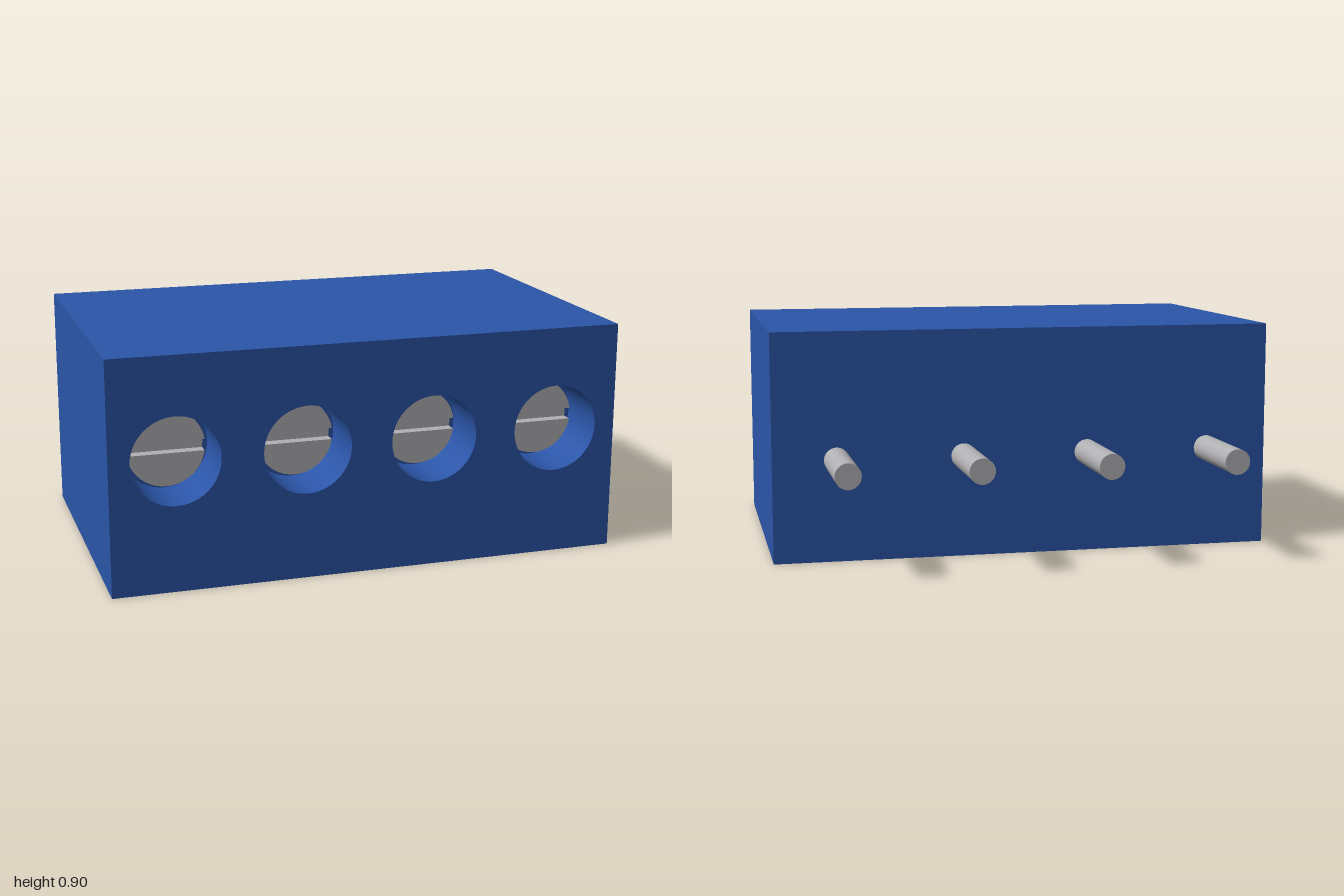
import * as THREE from 'three';
import { mergeGeometries, toCreasedNormals } from 'three/addons/utils/BufferGeometryUtils.js';

const W = 2, H = 0.9, BACK = -0.43, FRONT = 0.8;
const POLES = [-0.75, -0.25, 0.25, 0.75];
const SCREW_Y = 0.503, BORE_R = 0.17, SCREW_R = 0.15, SLOT = 0.022;
const BORE_FLOOR = 0.57, SCREW_FACE = 0.62;
const ENTRY_W = 0.32, ENTRY_L = 0.4, ENTRY_DEPTH = 0.5;

// Box keeping only the listed sides (0 +x, 1 -x, 2 +y, 3 -y, 4 +z, 5 -z)
function boxSides(w, h, d, sides) {
  const g = new THREE.BoxGeometry(w, h, d);
  const idx = Array.from(g.index.array);
  g.setIndex(sides.flatMap((s) => idx.slice(s * 6, s * 6 + 6)));
  return g;
}

// Turn a geometry inside out, for the walls of a cavity
function invert(g) {
  g.setIndex(Array.from(g.index.array).reverse());
  const n = g.attributes.normal;
  for (let i = 0; i < n.count; i++) n.setXYZ(i, -n.getX(i), -n.getY(i), -n.getZ(i));
  return g;
}

function rectangle(target, x0, y0, x1, y1) {
  return target.moveTo(x0, y0).lineTo(x1, y0).lineTo(x1, y1).lineTo(x0, y1).closePath();
}

function housingGeometry() {
  const depth = FRONT - BACK;
  const parts = [
    boxSides(W, H, depth, [0, 1, 2, 5]).translate(0, H / 2, (FRONT + BACK) / 2),
  ];

  // Front wall with round screw bores
  const front = rectangle(new THREE.Shape(), -W / 2, 0, W / 2, H);
  // Underside with square wire entries
  const under = rectangle(new THREE.Shape(), -W / 2, BACK, W / 2, FRONT);

  for (const x of POLES) {
    front.holes.push(new THREE.Path().absarc(x, SCREW_Y, BORE_R, 0, Math.PI * 2, true));
    under.holes.push(rectangle(new THREE.Path(),
      x - ENTRY_W / 2, -ENTRY_L / 2, x + ENTRY_W / 2, ENTRY_L / 2));

    // Bore wall and floor
    const boreDepth = FRONT - BORE_FLOOR;
    parts.push(
      invert(new THREE.CylinderGeometry(BORE_R, BORE_R, boreDepth, 48, 1, true))
        .rotateX(Math.PI / 2).translate(x, SCREW_Y, BORE_FLOOR + boreDepth / 2),
      new THREE.CircleGeometry(BORE_R, 48).translate(x, SCREW_Y, BORE_FLOOR),
      // Wire entry pocket, open below
      invert(boxSides(ENTRY_W, ENTRY_DEPTH, ENTRY_L, [0, 1, 2, 4, 5]))
        .translate(x, ENTRY_DEPTH / 2, 0),
    );
  }
  parts.push(
    new THREE.ShapeGeometry(front, 24).translate(0, 0, FRONT),
    new THREE.ShapeGeometry(under, 24).rotateX(Math.PI / 2),
  );
  return mergeGeometries(parts);
}

// Slotted screw head: two raised segments over a thin base disc
function screwGeometry() {
  const a = Math.asin(SLOT / SCREW_R);
  const half = new THREE.Shape().absarc(0, 0, SCREW_R, a, Math.PI - a, false);
  half.closePath();
  const upper = toCreasedNormals(new THREE.ExtrudeGeometry(half, {
    depth: SCREW_FACE - BORE_FLOOR, bevelEnabled: false, curveSegments: 24,
  }), 0.6);
  const lower = upper.clone().rotateZ(Math.PI);
  const base = new THREE.CylinderGeometry(SCREW_R, SCREW_R, 0.006, 48)
    .rotateX(Math.PI / 2).translate(0, 0, 0.003).toNonIndexed();
  return mergeGeometries([upper, lower, base]);
}

export function createModel() {
  const model = new THREE.Group();
  model.name = 'terminalBlock';

  const blue = new THREE.MeshStandardMaterial({ color: 0x2b55a8 });
  blue.name = 'blue plastic';
  const metal = new THREE.MeshStandardMaterial({ color: 0xb0afb2 });
  metal.name = 'grey metal';

  const add = (name, geometry, material, x = 0, y = 0, z = 0) => {
    const mesh = new THREE.Mesh(geometry, material);
    mesh.name = name;
    mesh.position.set(x, y, z);
    model.add(mesh);
  };

  add('housing', housingGeometry(), blue);

  // One screw and one solder pin per pole
  const screw = screwGeometry();
  const pinLength = 0.37;
  const pin = new THREE.CylinderGeometry(0.05, 0.05, pinLength, 32).rotateX(Math.PI / 2);
  POLES.forEach((x, i) => {
    add(`screw${i + 1}`, screw, metal, x, SCREW_Y, BORE_FLOOR);
    add(`pin${i + 1}`, pin, metal, x, 0.4, BACK - pinLength / 2);
  });

  return model;
}
